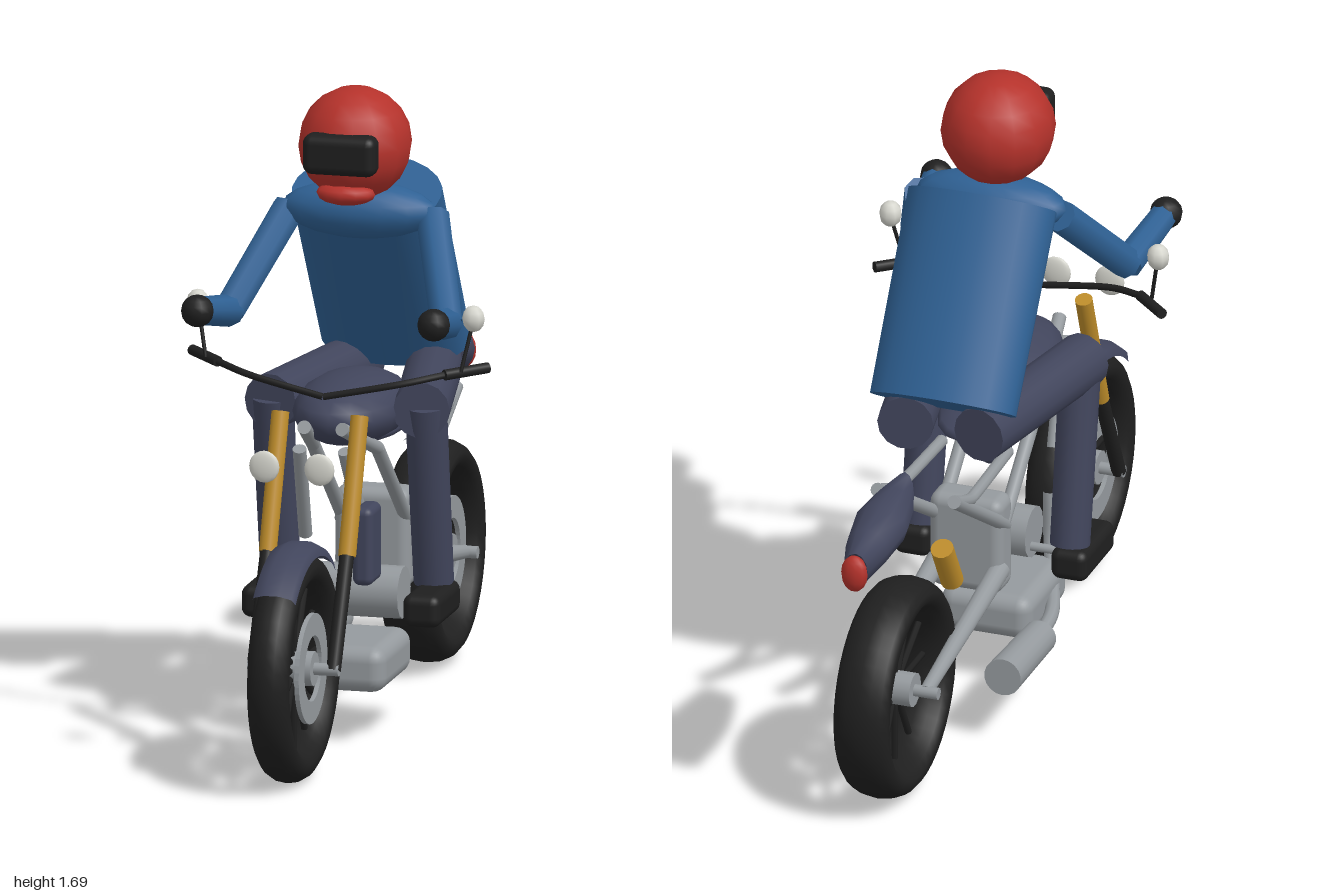
import * as THREE from 'three';
import { RoundedBoxGeometry } from 'three/addons/geometries/RoundedBoxGeometry.js';

const V = (x, y, z) => new THREE.Vector3(x, y, z);

export function createModel() {
  const model = new THREE.Group();
  model.name = 'motorcycleAndRider';

  const mat = (name, color) => {
    const m = new THREE.MeshStandardMaterial({ color });
    m.name = name;
    return m;
  };
  const black = mat('black', 0x1f1f1f);
  const red = mat('red', 0xb5322b);
  const blue = mat('blue', 0x2f6194);
  const slate = mat('slate', 0x41455c);
  const grey = mat('grey', 0x959a9e);
  const gold = mat('gold', 0xbd8c2a);
  const lamp = mat('lampWhite', 0xd6d6ce);
  slate.side = THREE.DoubleSide;

  const add = (name, geo, material, parent = model) => {
    const mesh = new THREE.Mesh(geo, material);
    mesh.name = name;
    parent.add(mesh);
    return mesh;
  };
  // straight round bar from a to b
  const bar = (name, a, b, ra, rb, material, parent = model, sides = 14) => {
    const dir = b.clone().sub(a);
    const mesh = add(name, new THREE.CylinderGeometry(rb, ra, dir.length(), sides), material, parent);
    mesh.position.copy(a).add(b).multiplyScalar(0.5);
    mesh.quaternion.setFromUnitVectors(V(0, 1, 0), dir.normalize());
    return mesh;
  };
  const ball = (name, p, r, material, w = 14, h = 10) => {
    const mesh = add(name, new THREE.SphereGeometry(1, w, h), material);
    mesh.position.copy(p);
    mesh.scale.copy(r);
    return mesh;
  };
  const box = (name, p, s, radius, material) => {
    const mesh = add(name, new RoundedBoxGeometry(s.x, s.y, s.z, 3, radius), material);
    mesh.position.copy(p);
    return mesh;
  };
  const tube = (name, pts, r, material, tension = 0.5) => add(name,
    new THREE.TubeGeometry(new THREE.CatmullRomCurve3(pts, false, 'catmullrom', tension), 24, r, 10), material);

  // wheel: tyre, spokes, hub and brake discs
  const wheel = (name, y, z, radius, halfWidth, discSides) => {
    const g = new THREE.Group();
    g.name = name;
    g.position.set(0, y, z);
    model.add(g);
    const t = 0.043;
    const tyre = add('tyre', new THREE.TorusGeometry(radius - t, t, 14, 40), black, g);
    tyre.rotation.y = Math.PI / 2;
    tyre.scale.z = halfWidth / t;
    for (let i = 0; i < 12; i++) {
      const a = i * Math.PI / 6;
      const c = Math.cos(a), s = Math.sin(a);
      bar('spoke', V(0, c * 0.03, s * 0.03), V(0, c * 0.225, s * 0.225), 0.009, 0.009, black, g, 6);
    }
    bar('hub', V(-0.055, 0, 0), V(0.055, 0, 0), 0.045, 0.045, grey, g);
    bar('axle', V(-0.12, 0, 0), V(0.12, 0, 0), 0.016, 0.016, grey, g);
    const ring = new THREE.Shape().absarc(0, 0, 0.143, 0, Math.PI * 2);
    ring.holes.push(new THREE.Path().absarc(0, 0, 0.085, 0, Math.PI * 2, true));
    const disc = new THREE.ExtrudeGeometry(ring, { depth: 0.012, bevelEnabled: false, curveSegments: 24 });
    for (const s of discSides) {
      const m = add('brakeDisc', disc, grey, g);
      m.rotation.y = Math.PI / 2;
      m.position.x = s * 0.045 - 0.006;
    }
  };
  wheel('frontWheel', 0.302, 0.7, 0.297, 0.055, [1, -1]);
  wheel('rearWheel', 0.302, -0.675, 0.289, 0.075, [1]);

  // front fender: curved sheet swept around the front tyre
  const arch = [[0.29, -0.058], [0.312, -0.05], [0.325, -0.02], [0.325, 0.02], [0.312, 0.05], [0.29, 0.058]];
  const fender = add('frontFender', new THREE.LatheGeometry(
    arch.map(([r, x]) => new THREE.Vector2(r, x)), 16, Math.PI * 0.26, Math.PI * 0.48), slate);
  fender.rotation.z = Math.PI / 2;
  fender.position.set(0, 0.302, 0.7);
  // turn the swept arc so that its middle points up
  fender.geometry.rotateY(0);

  // frame, fork, swingarm and lights, mirrored
  for (const s of [-1, 1]) {
    bar('forkUpper', V(s * 0.105, 0.91, 0.44), V(s * 0.105, 0.57, 0.565), 0.023, 0.023, gold);
    bar('forkLower', V(s * 0.105, 0.6, 0.555), V(s * 0.105, 0.3, 0.7), 0.019, 0.019, black);
    ball('headlight', V(s * 0.073, 0.83, 0.72), V(0.04, 0.042, 0.012), lamp);
    bar('swingarm', V(s * 0.085, 0.4, -0.13), V(s * 0.085, 0.302, -0.675), 0.028, 0.018, grey);
    bar('downTube', V(s * 0.06, 0.81, 0.42), V(s * 0.08, 0.555, 0.285), 0.018, 0.018, grey);
    bar('topTube', V(s * 0.05, 0.865, 0.41), V(s * 0.085, 0.77, 0.19), 0.018, 0.018, grey);
    bar('backTube', V(s * 0.085, 0.77, 0.19), V(s * 0.085, 0.52, -0.1), 0.018, 0.018, grey);
    bar('seatStay', V(s * 0.085, 0.51, -0.09), V(s * 0.105, 0.775, -0.52), 0.018, 0.018, grey);
    tube('seatRail', [V(s * 0.09, 0.715, -0.08), V(s * 0.1, 0.72, -0.38), V(s * 0.105, 0.775, -0.52)], 0.016, grey, 0.2);
    tube('handlebar', [V(s * 0.3, 1.005, 0.33), V(s * 0.19, 0.985, 0.385), V(0, 0.948, 0.41)], 0.009, black);
    bar('grip', V(s * 0.392, 1.01, 0.24), V(s * 0.3, 1.005, 0.33), 0.014, 0.014, black);
    bar('mirrorStem', V(s * 0.338, 1.01, 0.31), V(s * 0.362, 1.13, 0.285), 0.005, 0.005, black);
    ball('mirror', V(s * 0.365, 1.147, 0.285), V(0.03, 0.035, 0.03), lamp, 8, 6);
  }

  // engine and exhaust
  box('gearbox', V(0, 0.468, -0.112), V(0.2, 0.265, 0.1), 0.03, grey);
  box('engineCase', V(0, 0.2, 0.13), V(0.25, 0.12, 0.3), 0.04, grey);
  bar('engineCylinder', V(-0.08, 0.382, 0.14), V(0.142, 0.382, 0.14), 0.068, 0.068, grey);
  bar('footPeg', V(-0.18, 0.35, 0.12), V(0.18, 0.35, 0.12), 0.012, 0.012, grey);
  tube('exhaustHeader', [V(-0.07, 0.43, 0.285), V(-0.075, 0.3, 0.275), V(-0.1, 0.215, 0.22),
    V(-0.15, 0.19, 0.08), V(-0.165, 0.185, -0.07)], 0.019, grey);
  bar('muffler', V(-0.167, 0.188, -0.055), V(-0.167, 0.198, -0.33), 0.045, 0.05, grey, model, 18);
  bar('shock', V(0, 0.41, -0.25), V(0, 0.535, -0.325), 0.03, 0.03, gold);
  box('radiator', V(0.105, 0.56, 0.367), V(0.055, 0.205, 0.11), 0.02, slate);

  // tank, seat and tail
  ball('tank', V(0, 0.86, 0.12), V(0.145, 0.09, 0.245), slate, 16, 10);
  ball('seat', V(0, 0.79, 0), V(0.11, 0.035, 0.205), slate, 16, 8);
  const sections = [ // z, half width, bottom, top
    [-0.6, 0.025, 0.765, 0.88], [-0.69, 0.056, 0.758, 0.88], [-0.78, 0.073, 0.75, 0.868],
    [-0.88, 0.058, 0.732, 0.845], [-0.965, 0.033, 0.715, 0.815]];
  const n = 12, pos = [], idx = [];
  sections.forEach(([z, w, lo, hi], k) => {
    for (let i = 0; i < n; i++) {
      const a = i / n * Math.PI * 2;
      pos.push(w * Math.cos(a), (lo + hi) / 2 + (hi - lo) / 2 * Math.sin(a), z);
      if (k) {
        const j = (i + 1) % n, p = (k - 1) * n, q = k * n;
        idx.push(p + i, p + j, q + i, p + j, q + j, q + i);
      }
    }
  });
  for (let i = 1; i < n - 1; i++) {
    const e = (sections.length - 1) * n;
    idx.push(0, i, i + 1, e, e + i + 1, e + i);
  }
  const tail = new THREE.BufferGeometry();
  tail.setAttribute('position', new THREE.Float32BufferAttribute(pos, 3));
  tail.setIndex(idx);
  tail.computeVertexNormals();
  add('tail', tail, slate);
  ball('tailLight', V(0, 0.763, -0.974), V(0.036, 0.05, 0.026), red, 10, 8);

  // rider torso: oval cylinder, deeper at the chest, leaning forward
  const torsoGeo = new THREE.CylinderGeometry(0.198, 0.198, 0.537, 24);
  const tp = torsoGeo.attributes.position;
  for (let i = 0; i < tp.count; i++) {
    tp.setZ(i, tp.getZ(i) / 0.198 * (tp.getY(i) > 0 ? 0.135 : 0.1));
  }
  torsoGeo.computeVertexNormals();
  const torso = add('torso', torsoGeo, blue);
  torso.rotation.x = 0.577;
  torso.position.set(0, 1.166, -0.17);
  ball('shoulders', V(0, 1.36, 0.045), V(0.205, 0.075, 0.085), blue, 16, 10);

  // head
  ball('helmet', V(0, 1.545, 0.092), V(0.147, 0.147, 0.157), red, 14, 10);
  box('visor', V(0, 1.545, 0.235), V(0.194, 0.105, 0.07), 0.025, black);
  ball('chinGuard', V(0, 1.432, 0.185), V(0.078, 0.03, 0.052), red, 12, 8);

  // arms and legs, mirrored
  for (const s of [-1, 1]) {
    const elbow = V(s * 0.288, 1.125, 0.265), hand = V(s * 0.313, 1.172, 0.485);
    bar('upperArm', V(s * 0.19, 1.35, 0.035), elbow, 0.044, 0.042, blue, model, 8);
    bar('forearm', elbow, hand, 0.042, 0.036, blue, model, 8);
    ball('hand', hand, V(0.043, 0.042, 0.042), black, 12, 8);
    bar('thigh', V(s * 0.1, 0.875, -0.325), V(s * 0.2, 0.873, 0.185), 0.073, 0.073, slate);
    bar('shin', V(s * 0.203, 0.88, 0.15), V(s * 0.203, 0.4, 0.072), 0.054, 0.052, slate);
    box('boot', V(s * 0.214, 0.357, 0.135), V(0.1, 0.085, 0.23), 0.025, black);
  }
  return model;
}
